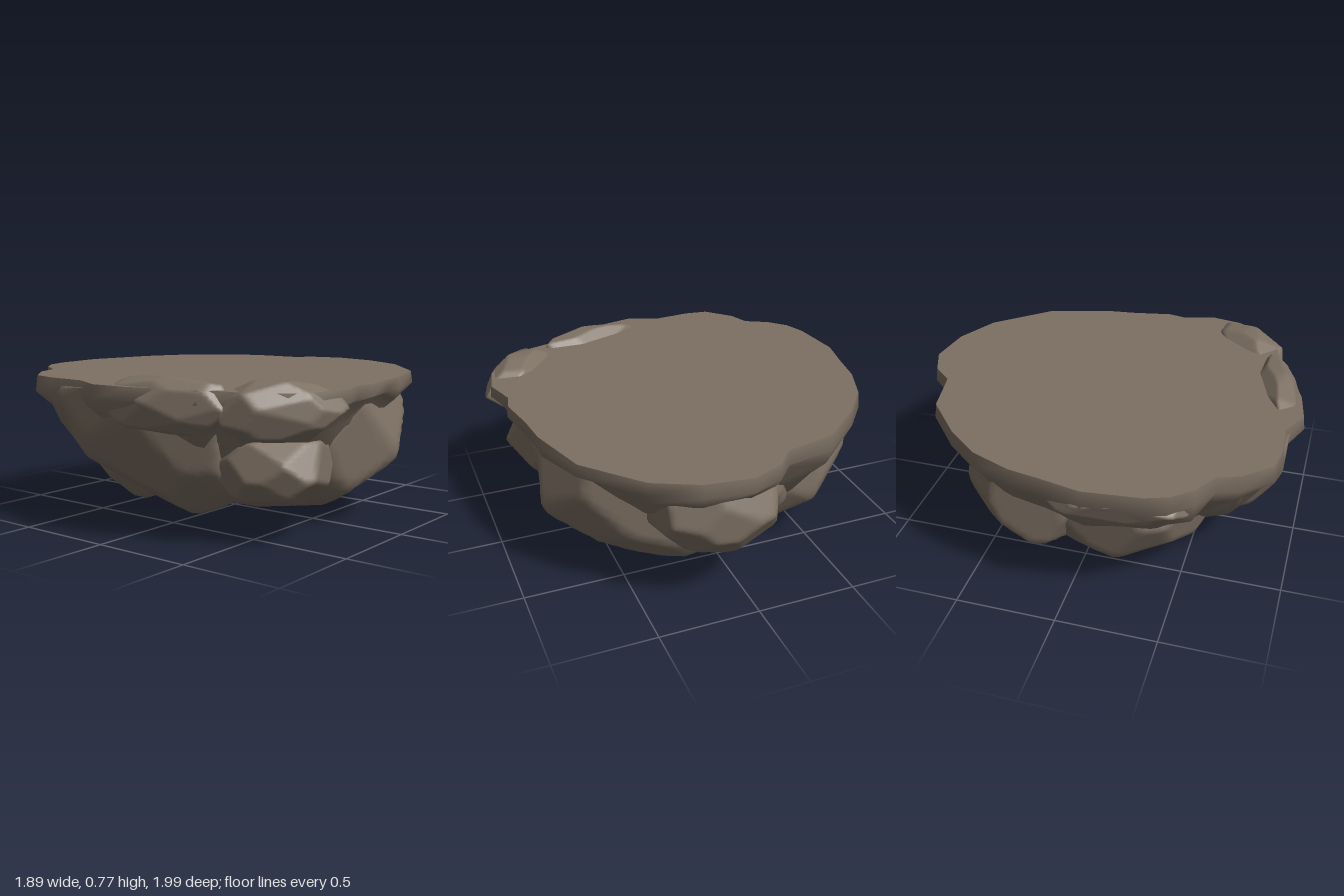
import * as THREE from 'three';
import { mergeVertices } from 'three/addons/utils/BufferGeometryUtils.js';

// Plan outline of the rim as x, z pairs, from the back round by the left side
const OUTLINE = [
  [0.04, -1], [0.27, -0.97], [0.49, -0.86], [0.73, -0.59], [0.83, -0.27], [0.85, -0.1], [0.89, 0.1],
  [0.87, 0.2], [0.92, 0.36], [0.89, 0.52], [0.8, 0.66], [0.64, 0.77], [0.51, 0.8], [0.45, 0.85],
  [0.3, 0.9], [0.13, 0.96], [-0.05, 0.99], [-0.2, 0.92], [-0.4, 0.93], [-0.52, 0.91], [-0.64, 0.78],
  [-0.68, 0.67], [-0.8, 0.6], [-0.88, 0.51], [-0.92, 0.4], [-0.95, 0.12], [-0.91, -0.07],
  [-0.88, -0.24], [-0.8, -0.44], [-0.66, -0.61], [-0.45, -0.79], [-0.2, -0.84], [-0.11, -0.94],
];

function seeded(seed) {
  let s = seed * 7919 + 17;
  return () => (s = (s * 16807) % 2147483647) / 2147483647;
}

const topHeight = (x) => 0.73 - 0.014 * x;

// Skin between rings made by scaling the outline; each ring is [scale, height function]
function loft(rings, wobble, seed) {
  const rnd = seeded(seed);
  const n = OUTLINE.length;
  const pos = [];
  const index = [];
  rings.forEach(([scale, height], r) => OUTLINE.forEach(([x, z]) => {
    const rough = r > 1 ? wobble : 0;
    const k = scale * (1 - rough * rnd());
    pos.push(x * k, height(x * k) + rough * (rnd() - 0.5), z * k);
  }));
  for (let r = 0; r < rings.length - 1; r++) {
    for (let i = 0; i < n; i++) {
      const a = r * n + i;
      const b = r * n + (i + 1) % n;
      index.push(a, b, b + n, a, b + n, a + n);
    }
  }
  const geo = new THREE.BufferGeometry();
  geo.setAttribute('position', new THREE.Float32BufferAttribute(pos, 3));
  geo.setIndex(index);
  geo.computeVertexNormals();
  return geo;
}

// Slightly boxy ellipsoid chipped by jittered planes into broad worn facets
function boulder({ at, size, seed, cuts = 32, yaw = 0, leanX = 0, leanZ = 0, top = 0.7 }) {
  const rnd = seeded(seed);
  const q = 1.75;
  const planes = [];
  for (let i = 0; i < cuts; i++) {
    const y = 1 - 2 * (i + 0.5) / cuts;
    const a = i * 2.39996 + (rnd() - 0.5) * 0.7;
    const r = Math.sqrt(1 - y * y);
    const n = new THREE.Vector3(r * Math.cos(a), y + (rnd() - 0.5) * 0.2, r * Math.sin(a)).normalize();
    const reach = (Math.abs(n.x) ** q + Math.abs(n.y) ** q + Math.abs(n.z) ** q) ** (1 / q);
    planes.push({ n, d: reach * (0.94 + 0.08 * rnd()) });
  }
  let geo = new THREE.IcosahedronGeometry(1, 14);
  geo.deleteAttribute('uv');
  geo.deleteAttribute('normal');
  geo = mergeVertices(geo, 1e-5);
  const p = geo.attributes.position;
  const v = new THREE.Vector3();
  for (let i = 0; i < p.count; i++) {
    v.fromBufferAttribute(p, i).normalize();
    let r = 1.25;
    for (const { n, d } of planes) {
      const c = n.dot(v);
      if (c > 0.2) r = Math.min(r, d / c);
    }
    v.multiplyScalar(r);
    p.setXYZ(i, v.x, v.y, v.z);
  }
  // Fit to the wanted half sizes, then turn and lean
  geo.center();
  const e = geo.boundingBox.getSize(v).clone();
  geo.scale(2 * size[0] / e.x, 2 * size[1] / e.y, 2 * size[2] / e.z);
  geo.rotateY(yaw);
  for (let i = 0; i < p.count; i++) {
    const y = p.getY(i);
    p.setXYZ(i, p.getX(i) + leanX * y + at[0], Math.min(y + at[1], top), p.getZ(i) + leanZ * y + at[2]);
  }
  geo.computeVertexNormals();
  return geo;
}

const BOULDERS = {
  mainBoulder: { at: [0.14, 0.5, -0.14], size: [0.69, 0.5, 0.66], seed: 3, cuts: 40 },
  rightBoulder: { at: [-0.37, 0.45, 0.16], size: [0.4, 0.39, 0.5], seed: 5 },
  rightBackBoulder: { at: [-0.35, 0.48, -0.24], size: [0.41, 0.41, 0.38], seed: 21 },
  frontBoulder: { at: [-0.05, 0.5, 0.52], size: [0.54, 0.43, 0.41], seed: 7, leanX: -0.45, leanZ: 0.4 },
  leftFrontBoulder: { at: [0.57, 0.35, 0.41], size: [0.27, 0.19, 0.27], seed: 9, cuts: 26 },
  backBoulder: { at: [0.11, 0.5, -0.72], size: [0.34, 0.25, 0.26], seed: 11, cuts: 28 },
  rightRimBoulder: { at: [-0.73, 0.63, 0.18], size: [0.22, 0.11, 0.42], seed: 13 },
  leftRimBoulder: { at: [0.715, 0.63, 0.58], size: [0.29, 0.145, 0.14], seed: 17, cuts: 28, yaw: Math.PI / 4, top: 0.765 },
  frontRimBoulder: { at: [0.25, 0.645, 0.82], size: [0.34, 0.135, 0.11], seed: 19, cuts: 28, yaw: 0.25, top: 0.775 },
};

export function createModel() {
  const group = new THREE.Group();
  group.name = 'rockPlatform';
  const add = (name, geometry) => {
    const material = new THREE.MeshStandardMaterial({ color: 0x7d7063, side: THREE.DoubleSide });
    const mesh = new THREE.Mesh(geometry, material);
    mesh.name = name;
    group.add(mesh);
  };

  // Flat top
  add('topSurface', loft([[0, topHeight], [0.99, topHeight]], 0, 1));

  // Rough lip that slopes down into the boulders
  add('rimLedge', loft([
    [0.99, topHeight], [1, () => 0.66], [0.98, (x) => 0.6 + 0.04 * x],
    [0.9, (x) => 0.51 + 0.03 * x], [0.78, () => 0.36], [0.6, () => 0.2],
  ], 0.05, 2));

  // Underside and rim boulders
  for (const [name, spec] of Object.entries(BOULDERS)) add(name, boulder(spec));

  return group;
}
